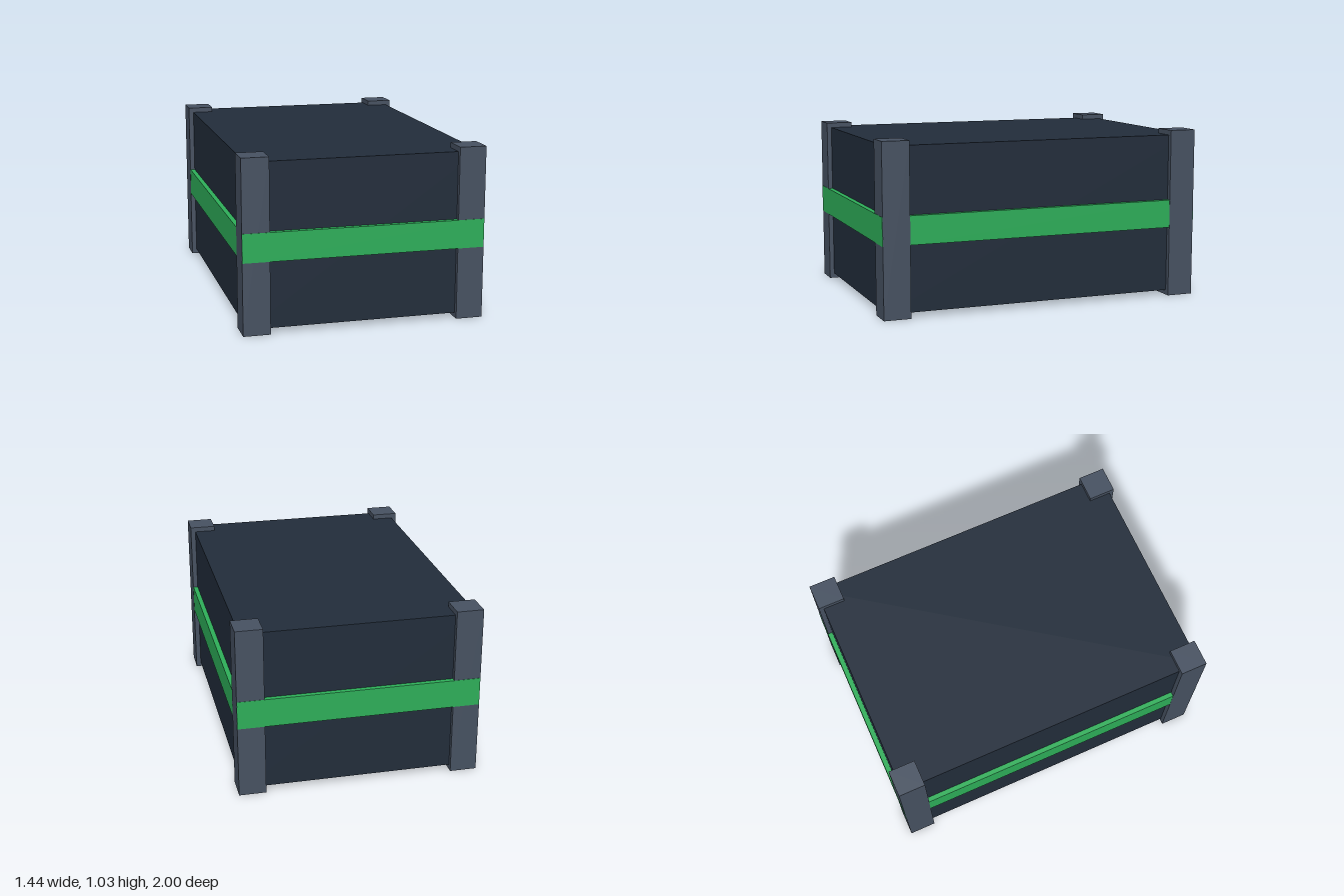
import * as THREE from 'three';

export function createModel() {
  const model = new THREE.Group();
  model.name = 'crate';

  const material = (name, color) => {
    const m = new THREE.MeshStandardMaterial({ color });
    m.name = name;
    return m;
  };
  const navy = material('dark navy', 0x222d3b);
  const slate = material('slate grey', 0x475262);
  const green = material('green', 0x2eb05a);

  const addBox = (name, mat, [w, h, d], [x, y, z]) => {
    const mesh = new THREE.Mesh(new THREE.BoxGeometry(w, h, d), mat);
    mesh.name = name;
    mesh.position.set(x, y, z);
    model.add(mesh);
  };

  // Main body, slightly inset from the corner posts
  addBox('body', navy, [1.38, 0.97, 1.94], [0, 0.515, 0]);

  // Corner posts rise above and drop below the body
  for (const [sx, xName] of [[1, 'left'], [-1, 'right']]) {
    for (const [sz, zName] of [[1, 'Front'], [-1, 'Back']]) {
      addBox(`${xName}${zName}Post`, slate, [0.16, 1.03, 0.163], [sx * 0.64, 0.515, sz * 0.9165]);
    }
  }

  // Front and back bands cross over the posts
  for (const [s, name] of [[1, 'frontBand'], [-1, 'backBand']]) {
    addBox(name, green, [1.438, 0.17, 0.04], [0, 0.515, s * 0.98]);
  }

  // Side bands run between the posts
  for (const [s, name] of [[1, 'leftBand'], [-1, 'rightBand']]) {
    addBox(name, green, [0.04, 0.17, 1.68], [s * 0.699, 0.515, 0]);
  }

  return model;
}
